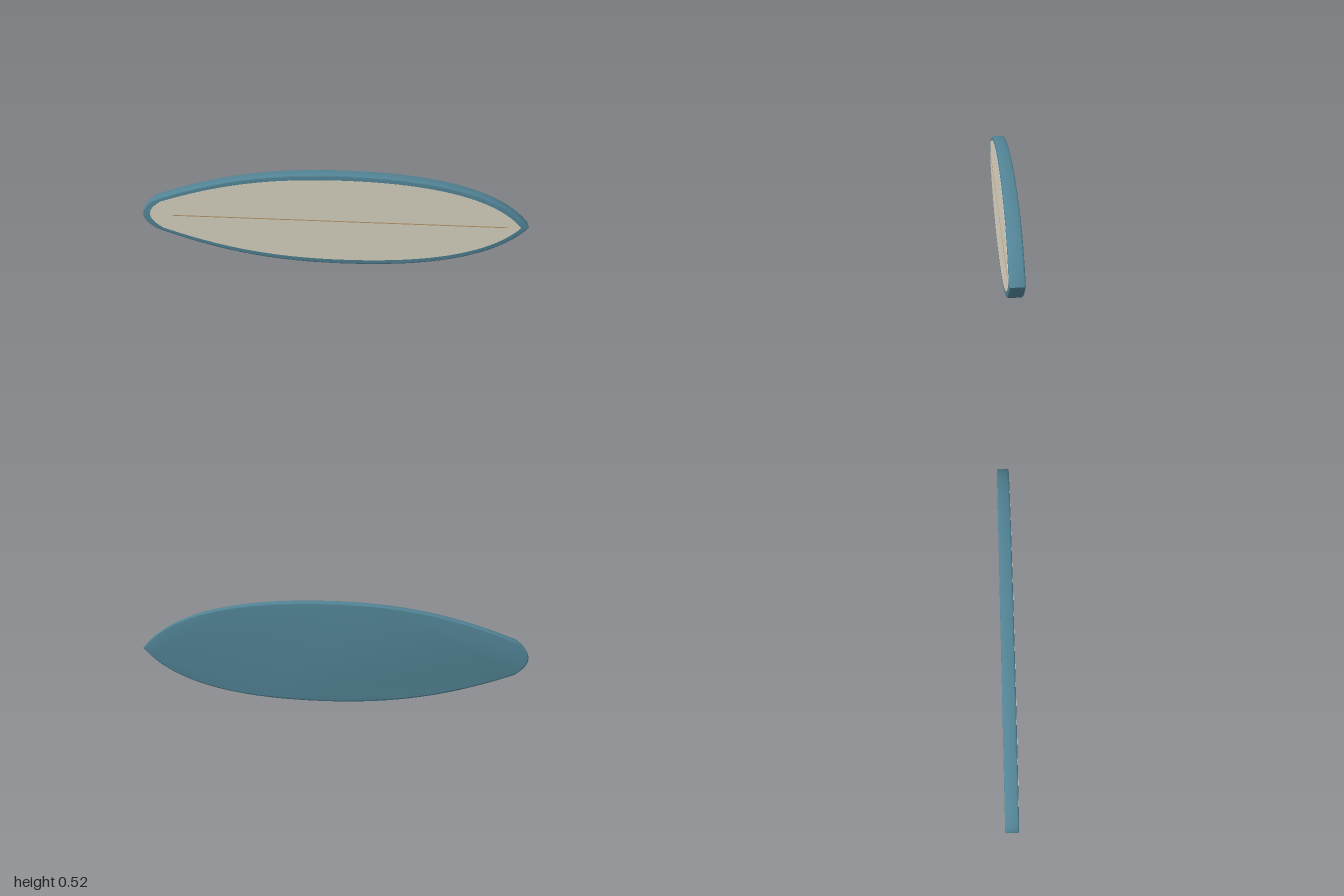
import * as THREE from 'three';
import { toCreasedNormals } from 'three/addons/utils/BufferGeometryUtils.js';

const CENTRE_Y = 0.2635;
const HALF_DEPTH = 0.033;

// Board outline, nose at +x and rounded tail at -x, scaled about its centre
function outline(sx = 1, sy = 1) {
  const s = new THREE.Shape();
  const curve = (a, b, c, d, e, f) =>
    s.bezierCurveTo(a * sx, b * sy, c * sx, d * sy, e * sx, f * sy);
  s.moveTo(0.997 * sx, 0);
  curve(0.86, 0.17, 0.55, 0.2625, 0.04, 0.2625);
  curve(-0.32, 0.2625, -0.6, 0.215, -0.935, 0.087);
  curve(-0.98, 0.055, -1, 0.03, -1, 0);
  curve(-1, -0.03, -0.98, -0.055, -0.935, -0.087);
  curve(-0.6, -0.215, -0.32, -0.2625, 0.04, -0.2625);
  curve(0.55, -0.2625, 0.86, -0.17, 0.997, 0);
  return s;
}

function part(name, geometry, color, z) {
  const mesh = new THREE.Mesh(geometry, new THREE.MeshStandardMaterial({ color }));
  mesh.name = name;
  mesh.position.set(0, CENTRE_Y, z);
  return mesh;
}

export function createModel() {
  const group = new THREE.Group();
  group.name = 'surfboard';

  // Body with softly rounded rails
  const bevel = 0.008;
  const body = new THREE.ExtrudeGeometry(outline(), {
    depth: 2 * (HALF_DEPTH - bevel),
    bevelSize: bevel,
    bevelThickness: bevel,
    bevelOffset: -bevel,
    bevelSegments: 3,
    curveSegments: 24,
  });
  group.add(part('boardBody', toCreasedNormals(body, 0.6), 0x528496, bevel - HALF_DEPTH));

  // Thin pale deck panel on the front
  const deck = new THREE.ExtrudeGeometry(outline(0.96, 0.895), {
    depth: 0.002,
    bevelEnabled: false,
    curveSegments: 24,
  });
  group.add(part('deckPanel', deck, 0xd9d3c0, HALF_DEPTH - 0.001));

  // Wooden centre line
  const stringer = part('stringer', new THREE.BoxGeometry(1.73, 0.005, 0.003), 0xb8966c, HALF_DEPTH + 0.001);
  stringer.position.x = 0.025;
  group.add(stringer);

  return group;
}
